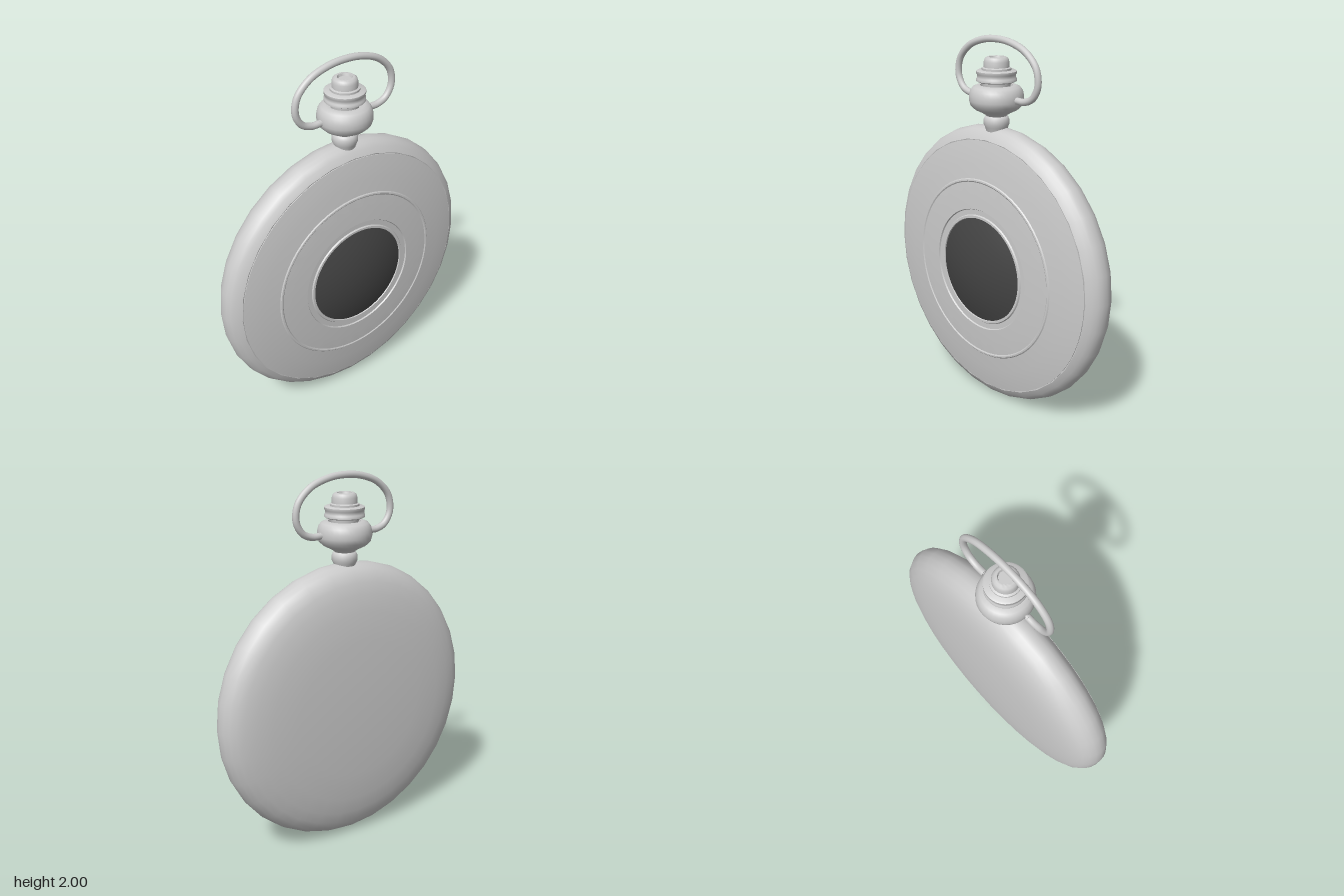
import * as THREE from 'three';
import { toCreasedNormals } from 'three/addons/utils/BufferGeometryUtils.js';

const grey = new THREE.MeshStandardMaterial({ color: 0xcccccc, side: THREE.DoubleSide });
const dark = new THREE.MeshStandardMaterial({ color: 0x444444, side: THREE.DoubleSide });
const CASE_Y = 0.77;

// Turned part from [radius, height] pairs, listed bottom to top
function turned(name, profile, segments, material = grey, crease = 0.7) {
  const points = profile.map(([r, h]) => new THREE.Vector2(r, h));
  const geometry = toCreasedNormals(new THREE.LatheGeometry(points, segments), crease);
  const mesh = new THREE.Mesh(geometry, material);
  mesh.name = name;
  return mesh;
}

// Turned part whose axis points forward through the centre of the case
function facing(...args) {
  const mesh = turned(...args);
  mesh.geometry.rotateX(Math.PI / 2);
  mesh.position.y = CASE_Y;
  return mesh;
}

export function createModel() {
  const model = new THREE.Group();
  model.name = 'pocketWatch';

  // Case: shallow domed back and rounded rim
  model.add(facing('caseBody', [
    [0, -0.168], [0.2, -0.166], [0.38, -0.159], [0.53, -0.148], [0.62, -0.132],
    [0.68, -0.115], [0.72, -0.095], [0.746, -0.07], [0.763, -0.04], [0.77, -0.01],
    [0.766, 0.02], [0.755, 0.043], [0.735, 0.063], [0.705, 0.08], [0.69, 0.076],
  ], 32));

  // Front lid, with a fine bead and a recess around the window
  model.add(facing('frontLid', [
    [0.699, 0.07], [0.699, 0.083], [0.65, 0.093], [0.58, 0.104], [0.5, 0.114],
    [0.495, 0.119], [0.487, 0.12], [0.481, 0.116], [0.41, 0.122], [0.337, 0.126],
    [0.333, 0.119], [0.305, 0.119], [0.3, 0.126], [0.288, 0.126], [0.284, 0.11],
  ], 64, grey, 0.4));

  // Dark domed window
  const dome = [];
  for (let i = 0; i <= 8; i++) {
    const t = 1 - i / 8;
    dome.push([0.286 * t, 0.17 - 0.05 * t * t]);
  }
  model.add(facing('windowGlass', dome, 64, dark));

  // Neck and bulb
  model.add(turned('neck', [
    [0.05, 1.5], [0.06, 1.535], [0.067, 1.55], [0.067, 1.575], [0.06, 1.59], [0.05, 1.595],
  ], 32));
  model.add(turned('bulb', [
    [0.048, 1.585], [0.055, 1.597], [0.075, 1.61], [0.112, 1.628], [0.135, 1.65],
    [0.142, 1.675], [0.141, 1.7], [0.135, 1.725], [0.122, 1.743], [0.1, 1.752],
    [0.085, 1.752], [0.08, 1.735], [0, 1.735],
  ], 32));

  // Winding crown: stem, wide grooved disc and hollow-topped knob
  model.add(turned('crownStem', [[0.07, 1.73], [0.075, 1.775], [0, 1.775]], 32));
  model.add(turned('crownDisc', [
    [0, 1.768], [0.095, 1.768], [0.104, 1.773], [0.104, 1.785], [0.1, 1.79],
    [0.1, 1.806], [0.104, 1.811], [0.104, 1.823], [0.095, 1.828], [0, 1.828],
  ], 32));
  model.add(turned('crownKnob', [
    [0.075, 1.825], [0.075, 1.838], [0.065, 1.842], [0.065, 1.87], [0.06, 1.886],
    [0.048, 1.894], [0.038, 1.893], [0.034, 1.88], [0, 1.88],
  ], 32));

  // Bow: half the path, mirrored into one open loop
  const half = [[0.15, 1.688], [0.2, 1.688], [0.255, 1.712], [0.29, 1.775],
    [0.277, 1.86], [0.205, 1.933], [0.1, 1.972]];
  const path = [
    ...half.map(([x, y]) => new THREE.Vector3(-x, y, 0)),
    new THREE.Vector3(0, 1.982, 0),
    ...half.slice().reverse().map(([x, y]) => new THREE.Vector3(x, y, 0)),
  ];
  const curve = new THREE.CatmullRomCurve3(path);
  const bow = new THREE.Mesh(new THREE.TubeGeometry(curve, 80, 0.018, 12), grey);
  bow.name = 'bow';
  model.add(bow);

  // End caps and pivot pins where the bow meets the bulb
  for (const side of [-1, 1]) {
    const cap = new THREE.Mesh(new THREE.CylinderGeometry(0.018, 0.018, 0.01, 12), grey);
    cap.name = 'bowEnd';
    cap.rotation.z = Math.PI / 2;
    cap.position.set(side * 0.153, 1.688, 0);
    const pin = new THREE.Mesh(new THREE.CylinderGeometry(0.01, 0.01, 0.06, 12), grey);
    pin.name = 'bowPin';
    pin.rotation.z = Math.PI / 2;
    pin.position.set(side * 0.14, 1.688, 0);
    model.add(cap, pin);
  }

  return model;
}
